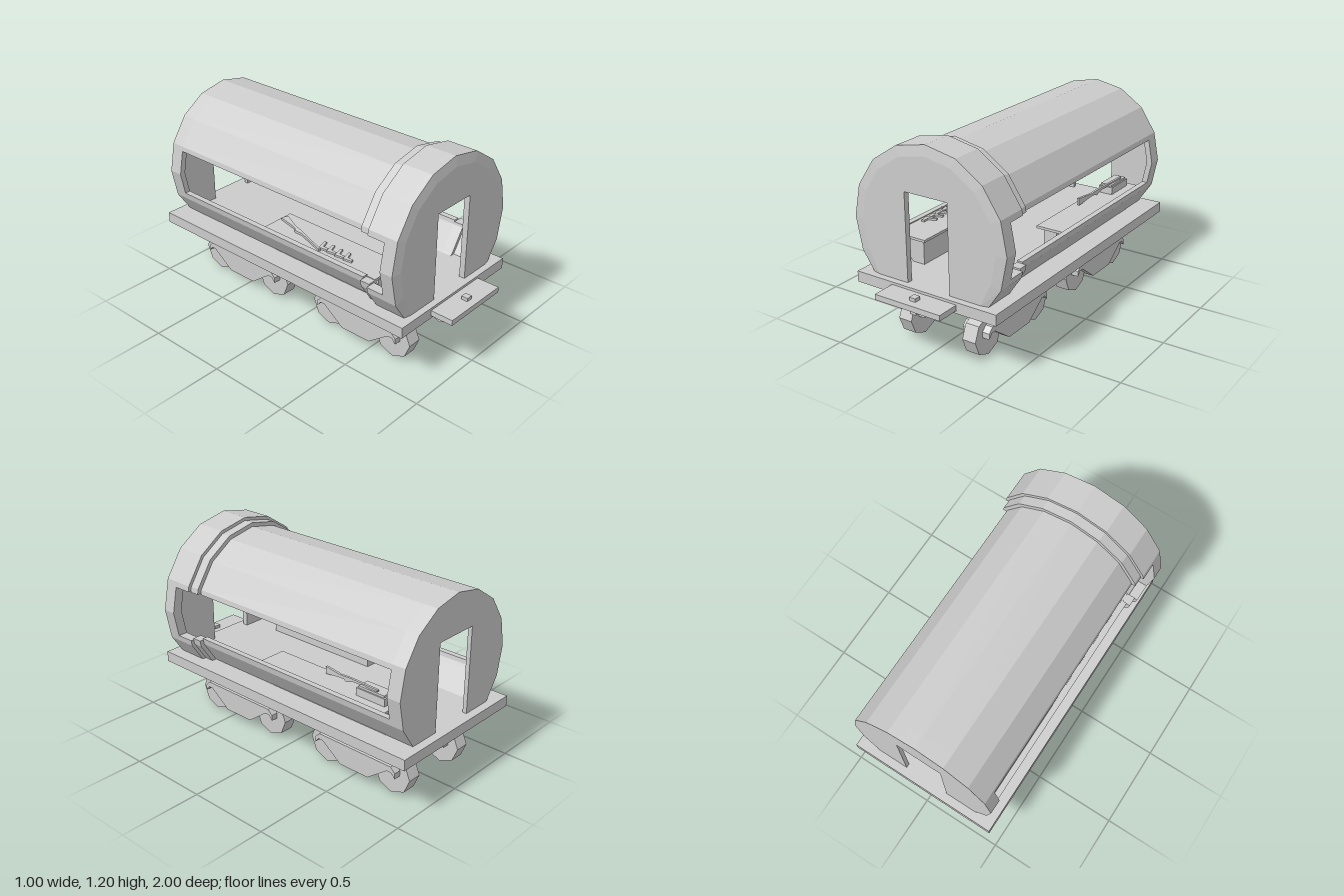
import * as THREE from 'three';

const CY = 0.7;         // centre height of the barrel
const FLOOR = 0.395;    // top of the deck
const mat = new THREE.MeshStandardMaterial({ color: 0xcccccc, flatShading: true, side: THREE.DoubleSide });

function add(parent, name, geo, x = 0, y = 0, z = 0) {
  const m = new THREE.Mesh(geo, mat);
  m.name = name;
  m.position.set(x, y, z);
  parent.add(m);
  return m;
}

// box given by its limits
function block(parent, name, x0, x1, y0, y1, z0, z1) {
  return add(parent, name, new THREE.BoxGeometry(x1 - x0, y1 - y0, z1 - z0),
    (x0 + x1) / 2, (y0 + y1) / 2, (z0 + z1) / 2);
}

// +x half of a 16-sided ring, from the bottom up, cut to y0..y1
function halfRing(r, y0, y1) {
  const all = [];
  for (let i = -4; i <= 4; i++) {
    const a = i * Math.PI / 8;
    all.push([r * Math.cos(a), CY + r * Math.sin(a)]);
  }
  const out = [];
  for (let i = 0; i < 8; i++) {
    const [ax, ay] = all[i], [bx, by] = all[i + 1];
    const at = y => [ax + (bx - ax) * (y - ay) / (by - ay), y];
    if (ay >= y0 && ay <= y1) out.push([ax, ay]);
    if (y0 > ay && y0 < by) out.push(at(y0));
    if (y1 > ay && y1 < by) out.push(at(y1));
  }
  if (y1 >= all[8][1]) out.push([0, all[8][1]]);
  return out;
}

const mirror = pts => pts.map(([x, y]) => [-x, y]).reverse();
const toShape = pts => new THREE.Shape(pts.map(p => new THREE.Vector2(p[0], p[1])));

function extrude(pts, depth) {
  return new THREE.ExtrudeGeometry(toShape(pts), { depth, bevelEnabled: false });
}

// side strips below the opening and the roof above it
function shell(parent, name, rOut, rIn, z0, z1, low, high) {
  const lower = [...halfRing(rOut, FLOOR, low), ...halfRing(rIn, FLOOR, low).reverse()];
  for (const [side, pts] of [['Left', lower], ['Right', mirror(lower)]])
    add(parent, name + 'LowerSide' + side, extrude(pts, z1 - z0), 0, 0, z0);
  const arch = r => {
    const h = halfRing(r, high, 9);
    return [...h, ...mirror(h).slice(1)];
  };
  add(parent, name + 'Roof', extrude([...arch(rOut), ...arch(rIn).reverse()], z1 - z0), 0, 0, z0);
}

// full arch from the deck, no side openings
function hoop(parent, name, rOut, rIn, z0, z1) {
  shell(parent, name, rOut, rIn, z0, z1, CY, CY);
}

// end wall with a doorway
function wallPoints(r) {
  const h = halfRing(r, FLOOR, 9);
  return [[0.14, FLOOR], ...h, ...mirror(h).slice(1), [-0.14, FLOOR], [-0.14, 0.92], [0.14, 0.92]];
}

// long gun profile: butt at the origin, muzzle along +x
const gunPoints = [[0, 0], [0, 0.045], [0.12, 0.03], [0.2, 0.034], [0.42, 0.03],
  [0.42, 0.02], [0.22, 0.018], [0.17, 0.0], [0.15, 0.012], [0.11, 0.012]];

function bogie(parent, x, z) {
  const g = new THREE.Group();
  g.name = 'bogie';
  g.position.set(x, 0, z);
  parent.add(g);
  block(g, 'bogiePost', -0.0275, 0.0275, 0.15, 0.335, -0.09, 0.09);
  // side beam with hooked ends over the axles
  const half = [[0.1, 0.055], [0.235, 0.155], [0.265, 0.155], [0.29, 0.125], [0.29, 0.16], [0.26, 0.19]];
  const beam = extrude([...half, ...mirror(half)], 0.175);
  beam.translate(0, 0, -0.0875).rotateY(-Math.PI / 2);
  add(g, 'bogieBeam', beam);
  for (const s of [-1, 1]) {
    const wheel = new THREE.CylinderGeometry(0.12, 0.12, 0.086, 8);
    wheel.rotateZ(Math.PI / 2);
    add(g, 'wheel', wheel, 0, 0.12, s * 0.2375);
  }
}

export function createModel() {
  const root = new THREE.Group();
  root.name = 'barrelWagon';

  // deck and coupling
  block(root, 'deck', -0.465, 0.465, 0.33, FLOOR, -1, 0.86);
  block(root, 'couplingPlate', -0.218, 0.214, 0.347, 0.38, 0.8, 1);
  block(root, 'couplingPin', -0.02, 0.02, 0.302, 0.4, 0.915, 0.955);

  // barrel body, collar and front cap
  shell(root, 'barrel', 0.455, 0.42, -0.865, 0.56, 0.565, 0.845);
  shell(root, 'collar', 0.48, 0.42, 0.56, 0.62, 0.555, 0.852);
  shell(root, 'cap', 0.5, 0.44, 0.62, 0.73, 0.545, 0.858);
  hoop(root, 'capFront', 0.5, 0.44, 0.73, 0.785);
  hoop(root, 'barrelBack', 0.455, 0.42, -0.925, -0.865);

  // end walls
  add(root, 'backWall', extrude(wallPoints(0.455), 0.025), 0, 0, -0.95);
  add(root, 'frontWall', extrude(wallPoints(0.5), 0.025), 0, 0, 0.785);
  const face = extrude(wallPoints(0.5), 0.01);
  const p = face.attributes.position;
  for (let i = 0; i < p.count; i++) {   // draw the front rim inward
    const x = p.getX(i), y = p.getY(i);
    if (p.getZ(i) < 0.005 || (Math.abs(x) < 0.15 && y < 0.93)) continue;
    p.setXY(i, x * 0.88, y < FLOOR + 0.001 ? y : CY + (y - CY) * 0.88);
  }
  face.computeVertexNormals();
  add(root, 'frontWallFace', face, 0, 0, 0.81);

  // running gear
  for (const x of [-0.22, 0.218])
    for (const z of [0.405, -0.527]) bogie(root, x, z);

  // counters along both sides
  block(root, 'leftCounterTop', 0.22, 0.4, 0.545, 0.56, -0.8, 0.1);
  block(root, 'leftCounterBody', 0.25, 0.335, FLOOR, 0.545, -0.77, 0.07);
  block(root, 'rightCounterTop', -0.4, -0.18, 0.545, 0.56, -0.215, 0.62);
  block(root, 'rightCounterBody', -0.335, -0.21, FLOOR, 0.545, -0.185, 0.59);

  // case with a long gun leaning on it
  block(root, 'caseBase', 0.25, 0.34, 0.56, 0.605, -0.76, -0.565);
  block(root, 'caseLid', 0.258, 0.332, 0.605, 0.618, -0.75, -0.575);
  const gun = extrude(gunPoints, 0.014).translate(0, 0, -0.007);
  const leaning = add(root, 'leaningGun', gun, 0.265, 0.566, -0.29);
  leaning.rotation.set(0, Math.PI / 2 - 0.14, 0.09, 'YXZ');

  // long gun and small handguns lying on the other counter
  const lying = add(root, 'lyingGun', gun, -0.27, 0.568, -0.2);
  lying.rotation.set(Math.PI / 2, 0, -1.9, 'XYZ');
  lying.rotation.set(-Math.PI / 2, 0, -1.9, 'XYZ');
  const pistol = extrude([[0, 0], [0.018, 0], [0.026, 0.035], [0.075, 0.04], [0.075, 0.055], [0.005, 0.055]], 0.012);
  for (let i = 0; i < 4; i++) {
    const h = add(root, 'handgun', pistol, -0.36, 0.561, 0.24 + i * 0.06);
    h.rotation.x = -Math.PI / 2;
    h.rotation.z = 0.25;
  }
  return root;
}
